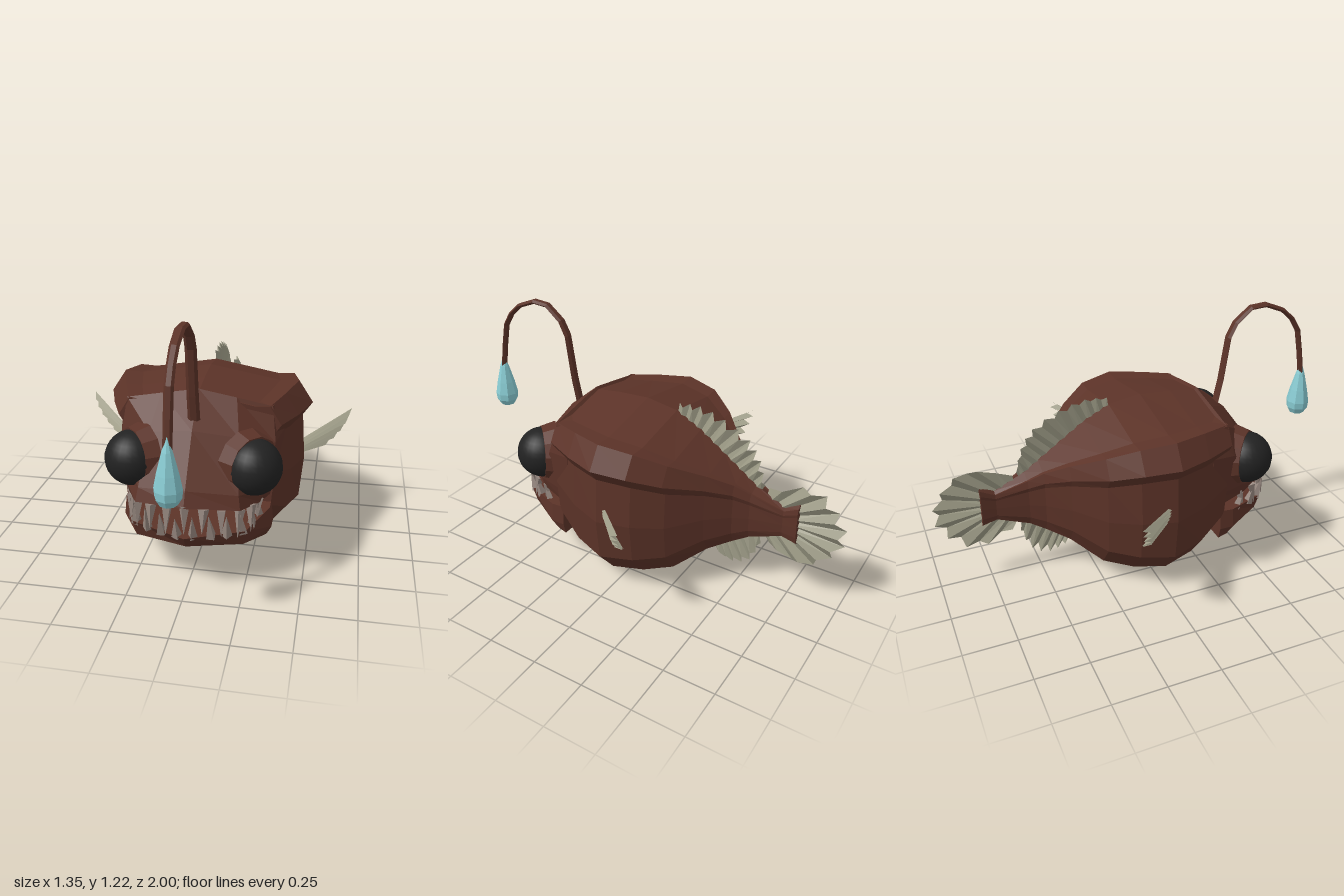
import * as THREE from 'three';

const V = (x, y, z) => new THREE.Vector3(x, y, z);
const mat = (name, color, opts = {}) => {
  const m = new THREE.MeshStandardMaterial({ color, flatShading: true, ...opts });
  m.name = name;
  return m;
};

// Closed solid through a list of equal-length rings, capped at both ends
function loft(rings) {
  const n = rings[0].length, pos = [], idx = [];
  rings.forEach(r => r.forEach(p => pos.push(p.x, p.y, p.z)));
  for (let k = 0; k < rings.length - 1; k++)
    for (let i = 0; i < n; i++) {
      const a = k * n + i, b = k * n + (i + 1) % n;
      idx.push(a, b, a + n, b, b + n, a + n);
    }
  [0, rings.length - 1].forEach((k, end) => {
    const c = rings[k].reduce((s, p) => s.add(p), V(0, 0, 0)).divideScalar(n);
    const ci = pos.length / 3;
    pos.push(c.x, c.y, c.z);
    for (let i = 0; i < n; i++) {
      const a = k * n + i, b = k * n + (i + 1) % n;
      idx.push(...(end ? [a, b, ci] : [b, a, ci]));
    }
  });
  // turn the faces outward
  const P = i => V(pos[3 * i], pos[3 * i + 1], pos[3 * i + 2]);
  let volume = 0;
  for (let i = 0; i < idx.length; i += 3) volume += P(idx[i]).dot(P(idx[i + 1]).cross(P(idx[i + 2])));
  if (volume < 0) idx.reverse();
  const g = new THREE.BufferGeometry();
  g.setAttribute('position', new THREE.Float32BufferAttribute(pos, 3));
  g.setIndex(idx);
  g.computeVertexNormals();
  return g;
}

// Half contour ending or starting on x = 0, mirrored into a full ring
const mirrorRing = half => [
  ...half,
  ...half.slice().reverse().filter(p => p[0] !== 0).map(([x, y, z]) => [-x, y, z]),
].map(p => V(...p));

// Jagged membrane between a root line and a tip line
function fan(root, tip, teeth, notch, wave) {
  const a = new THREE.CatmullRomCurve3(root.map(p => V(...p)));
  const b = new THREE.CatmullRomCurve3(tip.map(p => V(...p)));
  const pos = [], idx = [], n = teeth * 2;
  for (let i = 0; i <= n; i++) {
    const p = a.getPoint(i / n), q = b.getPoint(i / n), s = i % 2 ? 1 : -1;
    if (i % 2) q.lerp(p, notch);
    q.addScaledVector(wave, s);
    p.addScaledVector(wave, s * 0.5);
    pos.push(...p.toArray(), ...q.toArray());
    if (i) idx.push(2 * i - 2, 2 * i - 1, 2 * i, 2 * i - 1, 2 * i + 1, 2 * i);
  }
  const g = new THREE.BufferGeometry();
  g.setAttribute('position', new THREE.Float32BufferAttribute(pos, 3));
  g.setIndex(idx);
  g.computeVertexNormals();
  return g;
}

export function createModel() {
  const group = new THREE.Group();
  const skin = mat('brown skin', 0x5c3328);
  const finMat = mat('pale fin', 0x9e9c87, { side: THREE.DoubleSide });
  const eyeMat = mat('black eye', 0x222222, { flatShading: false });
  const toothMat = mat('grey tooth', 0x96877f);
  const glow = mat('cyan lure', 0x8acdd4);
  const add = (name, geo, m) => {
    const mesh = new THREE.Mesh(geo, m);
    mesh.name = name;
    group.add(mesh);
    return mesh;
  };

  // Body: one ridged cross-section scaled along z
  const section = [[0, 1], [.68, .93], [.86, .935], [1, .81], [.91, .735], [.94, .47], [.9, .22], [.68, .065], [0, 0]];
  const stations = [ // z, half width, top, bottom
    [-.77, .025, .52, .30], [-.70, .025, .48, .32], [-.55, .07, .55, .27], [-.48, .11, .60, .23],
    [-.38, .21, .67, .18], [-.25, .355, .76, .07], [-.12, .45, .825, .035], [.04, .49, .85, .005],
    [.2, .435, .84, .03], [.35, .37, .82, .14],
  ];
  add('body', loft(stations.map(([z, w, top, bot]) =>
    mirrorRing(section.map(([x, y]) => [x * w, bot + y * (top - bot), z])))), skin);

  // Upper head: curved contours from the brow down to the lip
  add('upperHead', loft([
    [[.35, .77, .22], [.33, .775, .34], [.17, .805, .34], [0, .835, .34]],
    [[.38, .64, .25], [.35, .62, .38], [.2, .67, .47], [0, .70, .5]],
    [[.36, .42, .28], [.32, .43, .46], [.22, .46, .60], [0, .49, .655]],
    [[.34, .34, .30], [.30, .37, .47], [.23, .40, .62], [0, .425, .69]],
  ].map(mirrorRing)), skin);

  // Lower jaw
  add('lowerJaw', loft([
    [[.335, .31, .33], [.335, .305, .40], [.25, .29, .60], [0, .285, .70]],
    [[.345, .21, .33], [.345, .21, .40], [.24, .215, .58], [0, .225, .66]],
    [[.33, .15, .33], [.32, .155, .38], [.2, .165, .50], [0, .17, .57]],
  ].map(mirrorRing)), skin);

  // Teeth along both jaws
  const arc = y => new THREE.CatmullRomCurve3(
    [[-.3, .43], [-.235, .60], [0, .685], [.235, .60], [.3, .43]].map(([x, z]) => V(x, y, z)));
  [['upperTooth', 11, -1], ['lowerTooth', 12, 1]].forEach(([name, count, dir]) => {
    const line = arc(0);
    for (let i = 0; i < count; i++) {
      const p = line.getPointAt((i + .5) / count);
      const len = .105 + .025 * Math.abs(Math.sin(i * 2.3 + dir));
      const base = dir < 0 ? .43 - Math.abs(p.x) * .15 : .275;
      const tooth = add(name, new THREE.ConeGeometry(.025, len, 4), toothMat);
      tooth.position.set(p.x, base + dir * len / 2, p.z);
      tooth.rotation.set(dir > 0 ? .3 : Math.PI - .25, i, Math.sin(i * 3.1) * .12, 'ZXY');
    }
  });

  // Eyes in raised sockets
  for (const s of [1, -1]) {
    add('eye', new THREE.SphereGeometry(.125, 24, 16), eyeMat).position.set(.27 * s, .55, .49);
    const axis = V(.72 * s, .05, .69).normalize();
    const socket = add('eyeSocket', new THREE.CylinderGeometry(.132, .152, .07, 12), skin);
    socket.quaternion.setFromUnitVectors(V(0, 1, 0), axis);
    socket.position.set(.25 * s, .55, .465);
  }

  // Stalk arching forward from the brow
  const path = [[.44, .68], [.475, .85], [.505, 1.07], [.54, 1.14], [.62, 1.205], [.70, 1.21],
    [.80, 1.17], [.86, 1.115], [.90, 1.05], [.925, .93], [.95, .78]];
  add('lureStalk', loft(path.map(([z, y], i) => {
    const a = path[Math.max(i - 1, 0)], b = path[Math.min(i + 1, path.length - 1)];
    const t = new THREE.Vector2(b[0] - a[0], b[1] - a[1]).normalize();
    const w = .028 - .0012 * Math.min(i, 7), d = .012;
    return [0, 1, 2, 3, 4, 5].map(k => {
      const c = Math.cos(k * Math.PI / 3) * w, e = Math.sin(k * Math.PI / 3) * d;
      return V(c, y - t.x * e, z + t.y * e);
    });
  })), skin);

  // Hanging drop
  const drop = [[0, .585], [.038, .59], [.055, .62], [.058, .655], [.045, .72], [.022, .81], [0, .87]];
  add('lureDrop', new THREE.LatheGeometry(drop.map(p => new THREE.Vector2(...p)), 8), glow)
    .position.z = .946;

  // Fins on the centre line
  const flat = pts => pts.map(([z, y]) => [0, y, z]);
  const ripple = V(.008, 0, 0);
  add('dorsalFin', fan(
    flat([[-.12, .79], [-.25, .72], [-.4, .62], [-.57, .52]]),
    flat([[-.13, .865], [-.24, .875], [-.37, .84], [-.5, .77], [-.56, .68], [-.59, .56]]), 10, .2, ripple), finMat);
  add('analFin', fan(
    flat([[-.33, .16], [-.42, .22], [-.58, .29]]),
    flat([[-.37, .09], [-.45, .065], [-.54, .11], [-.59, .23]]), 6, .22, ripple), finMat);
  add('tailFin', fan(
    flat([[-.60, .5], [-.70, .45], [-.73, .4], [-.70, .35], [-.60, .3]]),
    flat([[-.61, .55], [-.84, .615], [-.95, .53], [-1, .405], [-.94, .28], [-.81, .19], [-.63, .25]]),
    9, .14, V(.012, 0, 0)), finMat);

  // Pleated side fins
  for (const s of [1, -1]) {
    const side = pts => pts.map(([x, y, z]) => [x * s, y, z]);
    add('sideFin', fan(
      side([[.44, .475, .01], [.44, .44, .01], [.44, .395, -.01]]),
      side([[.685, .565, -.22], [.66, .50, -.205], [.61, .43, -.19], [.54, .375, -.15]]),
      5, .1, V(.008 * s, 0, .01)), finMat);
  }
  return group;
}
